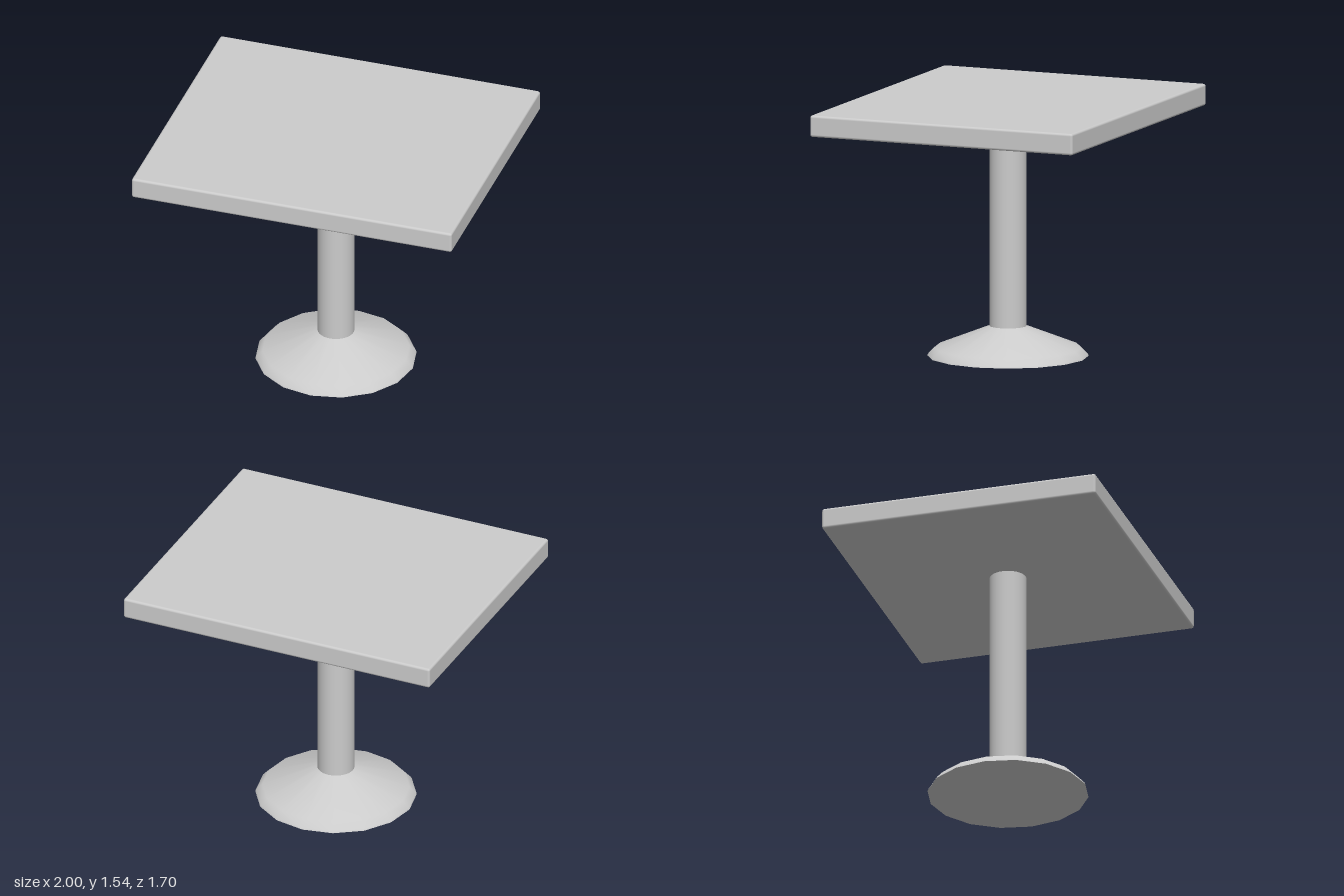
import * as THREE from 'three';
import { RoundedBoxGeometry } from 'three/addons/geometries/RoundedBoxGeometry.js';

const SIDES = 16;

export function createModel() {
  const group = new THREE.Group();
  const material = new THREE.MeshStandardMaterial({ color: 0xcccccc });

  const add = (name, geometry, y = 0) => {
    const mesh = new THREE.Mesh(geometry, material);
    mesh.name = name;
    mesh.position.y = y;
    group.add(mesh);
    return mesh;
  };

  // Thick slab with softened edges
  add('tableTop', new RoundedBoxGeometry(2, 0.13, 1.7, 2, 0.015), 1.475);

  // Central column, running from the base up to the slab
  add('column', new THREE.CylinderGeometry(0.11, 0.11, 1.23, SIDES * 2, 1, true), 0.795);

  // Sloping foot with a bevelled rim
  const profile = [[0.48, 0], [0.475, 0.01], [0.437, 0.05], [0.11, 0.18]]
    .map(([r, y]) => new THREE.Vector2(r, y));
  add('base', new THREE.LatheGeometry(profile, SIDES));

  // Flat underside of the foot
  add('baseUnderside', new THREE.CircleGeometry(0.48, SIDES).rotateX(Math.PI / 2));

  return group;
}
